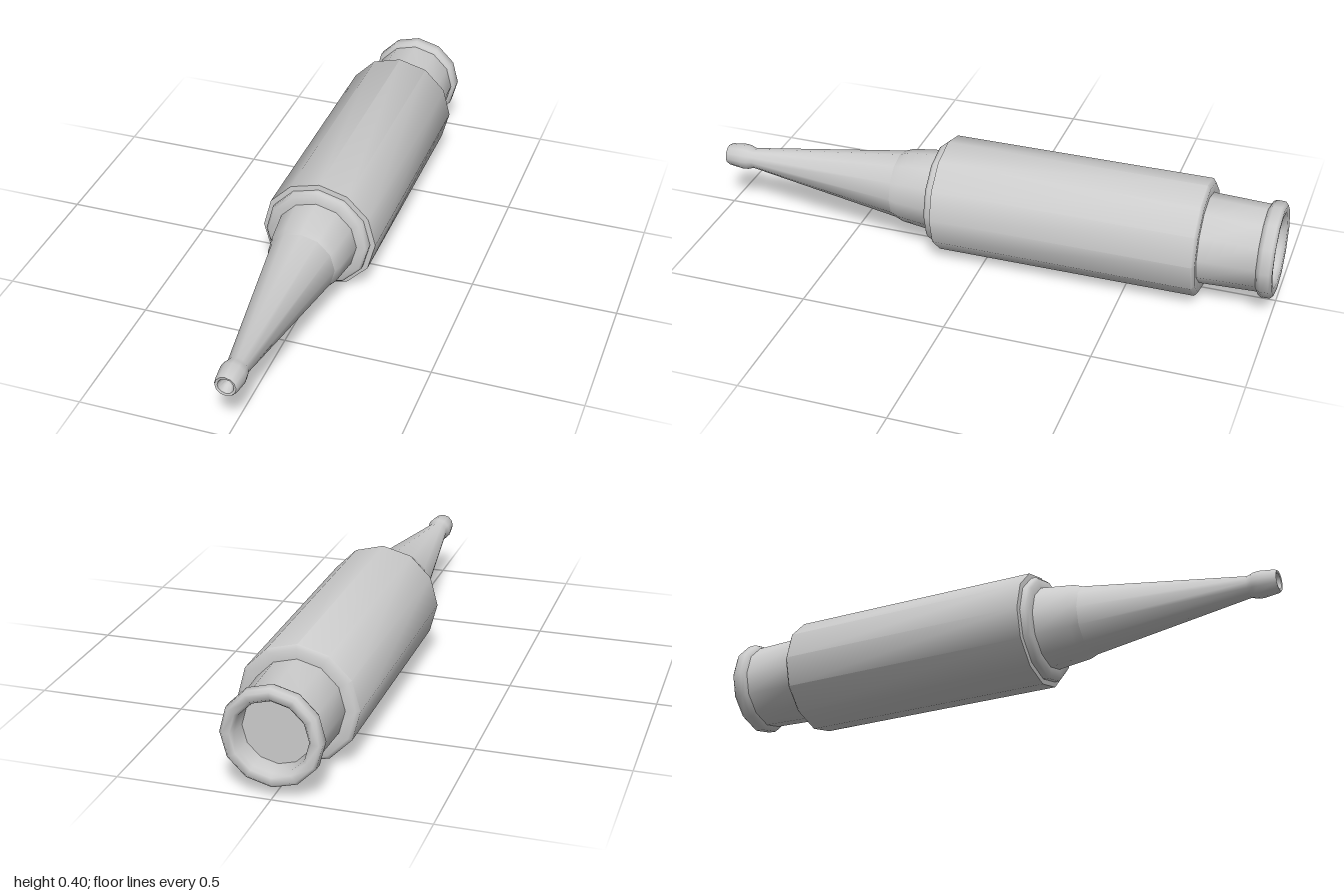
import * as THREE from 'three';
import { toCreasedNormals } from 'three/addons/utils/BufferGeometryUtils.js';

const SIDES = 12;
const AXIS_HEIGHT = 0.2;

// Turned part along z; profile is [radius, z] pairs, outer skin running back to front
function turned(name, profile, material) {
  const points = profile.map(([r, z]) => new THREE.Vector2(r, z));
  const geometry = new THREE.LatheGeometry(points, SIDES).rotateX(Math.PI / 2);
  const mesh = new THREE.Mesh(toCreasedNormals(geometry, 0.9), material);
  mesh.name = name;
  mesh.position.y = AXIS_HEIGHT;
  return mesh;
}

export function createModel() {
  const group = new THREE.Group();
  group.name = 'nozzleTool';
  const grey = new THREE.MeshStandardMaterial({ color: 0xcccccc, side: THREE.DoubleSide });

  // Barrel with softened back edge
  group.add(turned('barrel', [
    [0.14, -0.75], [0.186, -0.753], [0.199, -0.742], [0.199, 0.16], [0.175, 0.163],
  ], grey));

  // Stepped collar in front of the barrel
  group.add(turned('frontCollar', [
    [0.181, 0.155], [0.182, 0.18], [0.173, 0.19], [0.13, 0.19],
  ], grey));

  // Rear tube with a rolled rim and a recessed floor
  group.add(turned('rearSocket', [
    [0, -0.93], [0.113, -0.93], [0.118, -0.985], [0.128, -0.998],
    [0.152, -1], [0.162, -0.99], [0.163, -0.962], [0.157, -0.95],
    [0.147, -0.945], [0.153, -0.75],
  ], grey));

  // Sleeve holding the cone
  group.add(turned('coneSleeve', [
    [0.143, 0.185], [0.128, 0.31], [0.115, 0.345],
  ], grey));

  // Long cone ending in a small bead with a dimpled hole
  group.add(turned('cone', [
    [0.12, 0.32], [0.036, 0.9], [0.043, 0.92], [0.045, 0.94],
    [0.039, 0.992], [0.035, 1], [0.027, 0.998], [0.018, 0.975], [0, 0.96],
  ], grey));

  return group;
}
